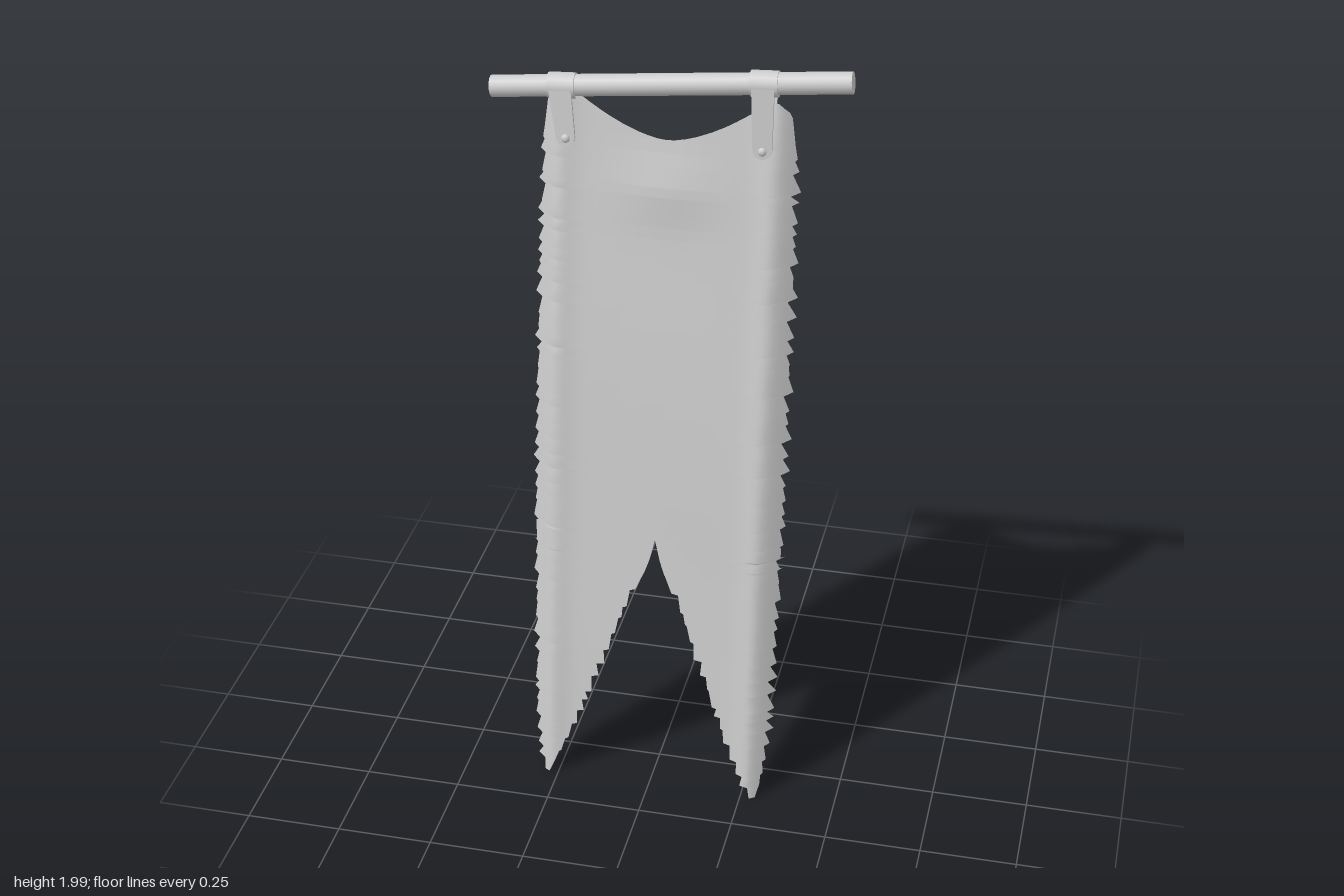
import * as THREE from 'three';
import { mergeVertices } from 'three/addons/utils/BufferGeometryUtils.js';

const grey = new THREE.MeshStandardMaterial({ color: 0xcccccc, side: THREE.DoubleSide });
grey.name = 'pale grey';

// Small seeded generator for the frayed edges
let seed = 7;
const rand = () => (seed = (seed * 16807) % 2147483647) / 2147483647;

function addMesh(parent, name, geometry) {
  const mesh = new THREE.Mesh(geometry, grey);
  mesh.name = name;
  parent.add(mesh);
  return mesh;
}

// Piecewise linear lookup through [y, value] pairs
function lookup(pairs, y) {
  for (let i = 1; i < pairs.length; i++) {
    const [y0, a] = pairs[i - 1], [y1, b] = pairs[i];
    if (y <= y1) return a + (b - a) * Math.max(0, (y - y0) / (y1 - y0));
  }
  return pairs[pairs.length - 1][1];
}

// Depth of the leaning cloth, with side folds curling backwards
const lean = y => 0.137 - 0.09 * y - 0.0165 * y * y;
function clothZ(x, y) {
  const a = Math.abs(x);
  const ridge = 0.009 * Math.exp(-(((a - 0.265) / 0.035) ** 2));
  const curl = 0.035 * Math.max(0, (a - 0.265) / 0.06) ** 1.6;
  const ripple = 0.003 * Math.sin(7 * y + 9 * x) * Math.cos(x * 6);
  const bulge = 0.012 * Math.exp(-(((y - 1.67) / 0.08) ** 2) - (x / 0.12) ** 2);
  return lean(y) - 0.006 + ridge - curl + ripple + bulge;
}

const outerEdge = [[0, 0.287], [0.05, 0.3], [0.2, 0.316], [0.8, 0.325], [1.5, 0.32], [1.78, 0.313], [1.88, 0.3], [1.91, 0.27]];
const notchEdge = [[0, 0.278], [0.17, 0.205], [0.34, 0.145], [0.58, 0.06], [0.65, 0.02], [0.735, 0]];

function innerEdge(y) {
  if (y < 0.735) return lookup(notchEdge, y);
  return y > 1.795 ? 0.2 * ((y - 1.795) / 0.08) ** 0.6 : 0;
}

// Cloth: two mirrored strips of rows, welded along the middle
function clothGeometry() {
  const rows = [{ y: 0.008, jag: [0, 0] }];
  for (let y = 0.045; y < 1.78; y += 0.024 + 0.03 * rand()) {
    const jag = [rand(), rand()];
    rows.push({ y: y - 0.004, jag: jag.map(j => -0.011 * j) });
    rows.push({ y, jag: jag.map(j => 0.013 * j) });
  }
  for (const y of [0.68, 0.71, 0.735, 1.795, 1.797, 1.802, 1.81, 1.825, 1.84, 1.855, 1.87, 1.885, 1.9, 1.91]) {
    rows.push({ y, jag: [0, 0] });
  }
  rows.sort((a, b) => a.y - b.y);

  const cols = 22, positions = [], index = [];
  [1, -1].forEach((side, s) => {
    const start = positions.length / 3;
    rows.forEach(({ y, jag }, r) => {
      const outer = lookup(outerEdge, y) + jag[s];
      const frayed = y < 0.6 ? jag[1 - s] * 0.9 : 0;
      const inner = Math.min(innerEdge(y) - frayed, outer - 0.002);
      for (let c = 0; c <= cols; c++) {
        const x = side * (inner + (outer - inner) * c / cols);
        positions.push(x, y, clothZ(x, y));
        if (r === 0 || c === 0) continue;
        const d = start + r * (cols + 1) + c, b = d - cols - 1;
        if (side > 0) index.push(b - 1, b, d, b - 1, d, d - 1);
        else index.push(b - 1, d, b, b - 1, d - 1, d);
      }
    });
  });
  let geometry = new THREE.BufferGeometry();
  geometry.setAttribute('position', new THREE.Float32BufferAttribute(positions, 3));
  geometry.setIndex(index);
  geometry = mergeVertices(geometry, 1e-5);
  geometry.computeVertexNormals();
  return geometry;
}

// Strap tongue hanging from y = 0 with a rounded tip
function tongueGeometry(length, width) {
  const h = width / 2, shape = new THREE.Shape();
  shape.moveTo(h, 0);
  shape.lineTo(-h, 0);
  shape.lineTo(-h * 0.85, -length + h);
  shape.absarc(0, -length + h, h * 0.85, Math.PI, Math.PI * 2, false);
  shape.closePath();
  const geometry = new THREE.ExtrudeGeometry(shape, { depth: 0.007, bevelEnabled: false, curveSegments: 8 });
  return geometry.translate(0, 0, -0.0035);
}

export function createModel() {
  const model = new THREE.Group();
  model.name = 'hangingBanner';
  addMesh(model, 'cloth', clothGeometry());

  // Tilted pole
  const left = new THREE.Vector3(-0.443, 1.885, -0.107);
  const right = new THREE.Vector3(0.443, 1.973, -0.11);
  const along = right.clone().sub(left);
  const turn = new THREE.Quaternion().setFromUnitVectors(new THREE.Vector3(0, 1, 0), along.clone().normalize());
  const pole = addMesh(model, 'pole', new THREE.CylinderGeometry(0.027, 0.027, along.length(), 16));
  pole.position.copy(left).lerp(right, 0.5);
  pole.quaternion.copy(turn);

  // Straps: a collar round the pole, a tongue on each face and a stud
  for (const { name, x, tip, tilt } of [
    { name: 'rightStrap', x: -0.265, tip: 1.757, tilt: 0.13 },
    { name: 'leftStrap', x: 0.232, tip: 1.768, tilt: 0.02 },
  ]) {
    const strap = new THREE.Group();
    strap.name = name;
    strap.position.copy(left).lerp(right, (x - left.x) / along.x);
    model.add(strap);
    const collar = addMesh(strap, 'collar', new THREE.CylinderGeometry(0.032, 0.032, 0.068, 16));
    collar.rotation.z = -Math.PI / 2 + 0.05;

    const length = strap.position.y - tip;
    for (const side of [1, -1]) {
      const tongue = new THREE.Group();
      tongue.name = side > 0 ? 'frontTongue' : 'backTongue';
      const endZ = clothZ(x, tip + 0.03) + side * 0.008 - strap.position.z;
      tongue.position.z = side * 0.028;
      tongue.rotation.set(-Math.atan2(endZ - side * 0.028, length), 0, tilt);
      strap.add(tongue);
      addMesh(tongue, 'tongueLeather', tongueGeometry(length, 0.056));
      const stud = addMesh(tongue, 'stud', new THREE.SphereGeometry(0.011, 10, 8));
      stud.position.set(0, -length + 0.024, side * 0.003);
      stud.scale.z = 0.7;
    }
  }
  return model;
}
